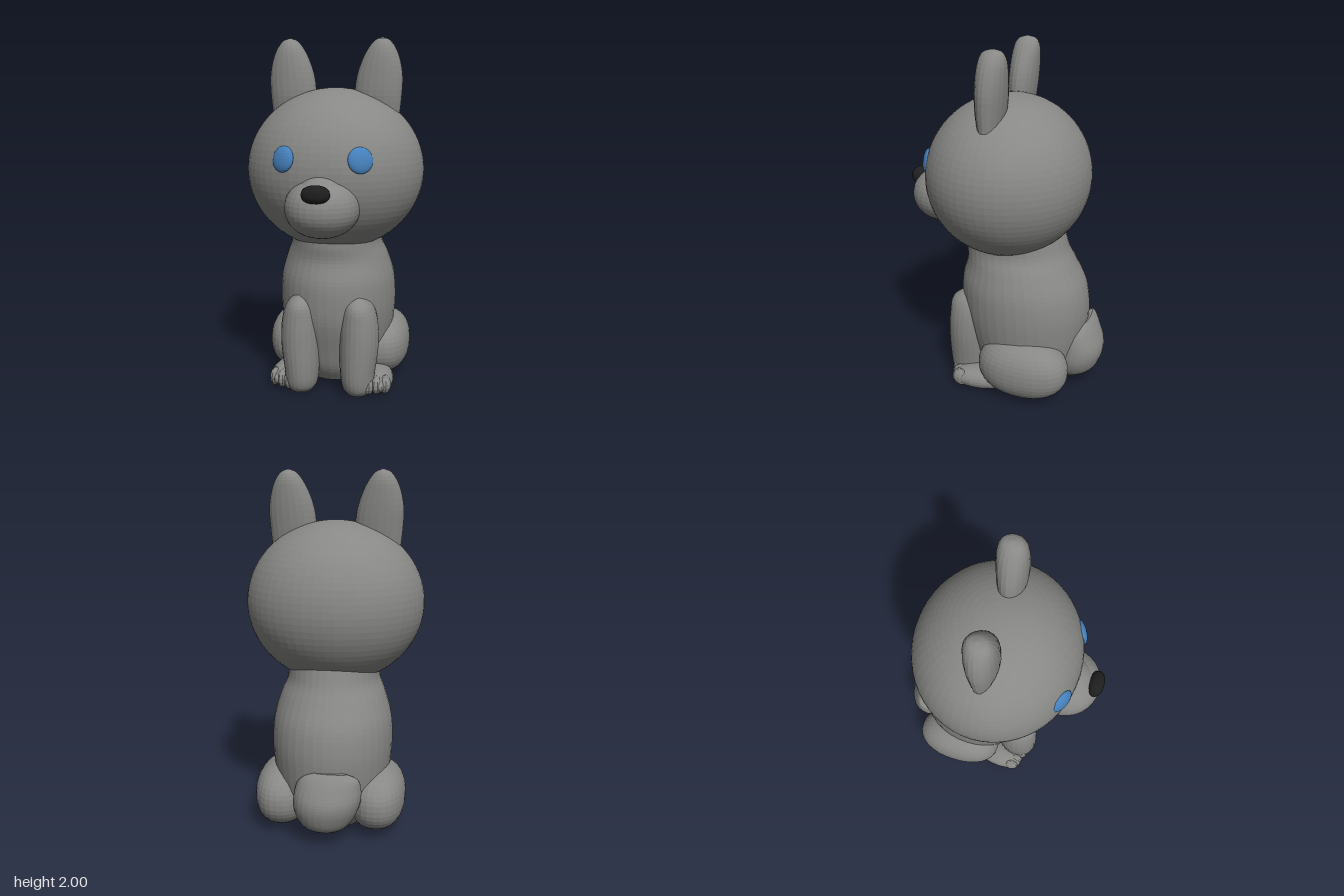
import * as THREE from 'three';

const mat = (name, color) => Object.assign(new THREE.MeshStandardMaterial({ color }), { name });

// Finely faceted surface
function facet(geo) {
  const g = geo.index ? geo.toNonIndexed() : geo;
  g.computeVertexNormals();
  return g;
}

// Ellipsoid; p below 1 makes it boxier, floor flattens the underside (world y)
function blob(c, r, { p = 1, floor = -1, yaw = 0, pitch = 0, seg = 32 } = {}) {
  const g = new THREE.SphereGeometry(1, seg, Math.round(seg * 0.7));
  const a = g.attributes.position;
  const f = v => Math.sign(v) * Math.abs(v) ** p;
  for (let i = 0; i < a.count; i++) {
    a.setXYZ(i, f(a.getX(i)) * r[0], f(a.getY(i)) * r[1], f(a.getZ(i)) * r[2]);
  }
  g.rotateX(pitch).rotateY(yaw).translate(...c);
  for (let i = 0; i < a.count; i++) a.setY(i, Math.max(floor, a.getY(i)));
  return facet(g);
}

// Smooth upward loft through oval sections [y, centreX, centreZ, radiusX, radiusZ]
function loft(sections, { side = 1, n = 28, steps = 5 } = {}) {
  const mid = new THREE.CatmullRomCurve3(
    sections.map(s => new THREE.Vector3(s[1] * side, s[0], s[2])), false, 'catmullrom', 0.5);
  const rad = new THREE.CatmullRomCurve3(
    sections.map(s => new THREE.Vector3(s[3], 0, s[4])), false, 'catmullrom', 0.5);
  const rows = (sections.length - 1) * steps;
  const pos = [], idx = [];
  for (let j = 0; j <= rows; j++) {
    const c = mid.getPoint(j / rows), r = rad.getPoint(j / rows);
    for (let i = 0; i < n; i++) {
      const t = (i / n) * Math.PI * 2;
      pos.push(c.x + Math.sin(t) * Math.max(r.x, 0), c.y, c.z + Math.cos(t) * Math.max(r.z, 0));
    }
  }
  for (let j = 0; j < rows; j++) {
    for (let i = 0; i < n; i++) {
      const a = j * n + i, b = j * n + (i + 1) % n;
      idx.push(a, b, b + n, a, b + n, a + n);
    }
  }
  // End caps
  [0, rows].forEach(j => {
    const c = mid.getPoint(j / rows), k = pos.length / 3;
    pos.push(c.x, c.y, c.z);
    for (let i = 0; i < n; i++) {
      const a = j * n + i, b = j * n + (i + 1) % n;
      if (j) idx.push(k, a, b); else idx.push(k, b, a);
    }
  });
  const g = new THREE.BufferGeometry();
  g.setAttribute('position', new THREE.Float32BufferAttribute(pos, 3));
  g.setIndex(idx);
  return facet(g);
}

export function createModel() {
  const model = new THREE.Group();
  model.name = 'sittingPuppy';
  const fur = mat('greyFur', 0x888886);
  const blue = mat('blueEye', 0x4682be);
  const black = mat('blackNose', 0x1e1e1e);
  const add = (name, geo, material = fur) => {
    const m = new THREE.Mesh(geo, material);
    m.name = name;
    model.add(m);
  };

  // Torso, leaning slightly back, with a narrow neck
  add('body', loft([
    [0.03, 0, -0.12, 0.20, 0.24],
    [0.12, 0, -0.13, 0.28, 0.31],
    [0.25, 0, -0.13, 0.32, 0.35],
    [0.40, 0, -0.12, 0.34, 0.38],
    [0.52, 0, -0.115, 0.345, 0.385],
    [0.64, 0, -0.105, 0.335, 0.37],
    [0.76, 0, -0.09, 0.30, 0.325],
    [0.85, 0, -0.065, 0.265, 0.305],
    [0.95, 0, -0.05, 0.26, 0.29],
  ], { n: 40 }));

  // Head and muzzle
  add('head', blob([0, 1.268, -0.008], [0.505, 0.46, 0.467], { seg: 56 }));
  add('muzzle', blob([0, 1.105, 0.375], [0.2, 0.163, 0.21], { p: 0.95 }));
  add('muzzleBridge', blob([0, 1.17, 0.42], [0.13, 0.11, 0.125], { pitch: 0.5 }));
  add('nose', blob([0, 1.198, 0.555], [0.075, 0.048, 0.045], { p: 0.9, seg: 20 }), black);

  for (const side of [1, -1]) {
    const tag = side > 0 ? 'left' : 'right';

    add(tag + 'Eye', blob([side * 0.204, 1.358, 0.402], [0.069, 0.07, 0.026],
      { yaw: side * 0.48, pitch: -0.18, seg: 20 }), blue);

    // Upright rounded ears
    add(tag + 'Ear', loft([
      [1.59, 0.25, 0.0, 0.115, 0.06],
      [1.68, 0.242, 0.0, 0.132, 0.075],
      [1.78, 0.248, -0.005, 0.13, 0.081],
      [1.87, 0.255, -0.01, 0.109, 0.081],
      [1.94, 0.26, -0.015, 0.078, 0.074],
      [1.985, 0.262, -0.018, 0.042, 0.052],
      [2.0, 0.262, -0.02, 0.006, 0.008],
    ], { side, n: 20, steps: 3 }));

    // Front leg with its paw
    add(tag + 'FrontLeg', loft([
      [0.0, 0.165, 0.185, 0.065, 0.075],
      [0.04, 0.165, 0.185, 0.09, 0.105],
      [0.12, 0.163, 0.185, 0.1, 0.12],
      [0.28, 0.17, 0.18, 0.112, 0.128],
      [0.42, 0.17, 0.175, 0.107, 0.126],
      [0.52, 0.165, 0.17, 0.08, 0.112],
      [0.58, 0.16, 0.165, 0.02, 0.04],
    ], { side, n: 24 }));

    // Folded hind leg, foot and toes
    add(tag + 'Haunch', blob([side * 0.268, 0.193, -0.195], [0.163, 0.182, 0.268], { p: 0.9, floor: 0.025 }));
    add(tag + 'HindFoot', blob([side * 0.26, 0.055, 0.06], [0.095, 0.07, 0.19],
      { yaw: side * 0.2, floor: 0.005, seg: 18 }));
    for (let i = 0; i < 3; i++) {
      add(tag + 'Toe' + (i + 1), blob([side * (0.23 + i * 0.046), 0.055, 0.215 - i * 0.018],
        [0.035, 0.052, 0.055], { floor: 0.005, seg: 10 }));
    }
  }

  // Stubby upturned tail
  add('tail', loft([
    [0.04, 0, -0.38, 0.06, 0.05],
    [0.1, 0, -0.42, 0.13, 0.125],
    [0.18, -0.005, -0.44, 0.172, 0.15],
    [0.26, -0.015, -0.455, 0.185, 0.145],
    [0.34, -0.025, -0.465, 0.176, 0.105],
    [0.39, -0.035, -0.485, 0.148, 0.055],
    [0.42, -0.04, -0.495, 0.09, 0.015],
  ]));

  return model;
}
